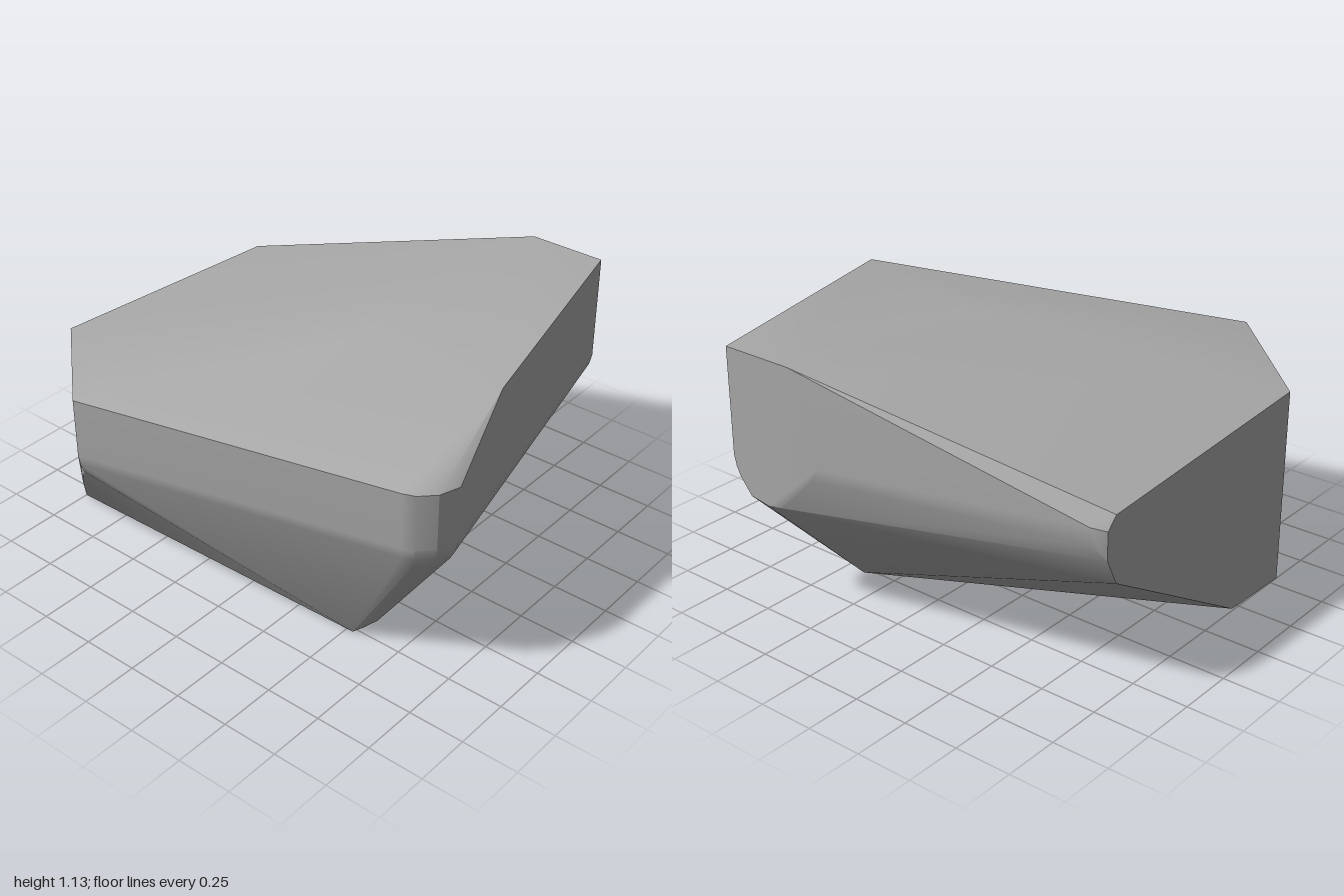
import * as THREE from 'three';
import { ConvexGeometry } from 'three/addons/geometries/ConvexGeometry.js';

// Area-weighted smooth normals that keep edges above the crease angle sharp
function creaseNormals(geometry, angle) {
  const pos = geometry.attributes.position;
  const limit = Math.cos(angle);
  const corners = new Map();
  const faces = [];
  const key = (i) => [pos.getX(i), pos.getY(i), pos.getZ(i)].map((v) => v.toFixed(4)).join();
  for (let i = 0; i < pos.count; i += 3) {
    const [a, b, c] = [0, 1, 2].map((k) => new THREE.Vector3().fromBufferAttribute(pos, i + k));
    const area = b.sub(a).cross(c.sub(a));
    const face = { area, unit: area.clone().normalize() };
    faces.push(face);
    for (let k = 0; k < 3; k++) {
      const id = key(i + k);
      if (!corners.has(id)) corners.set(id, []);
      corners.get(id).push(face);
    }
  }
  const normals = [];
  for (let i = 0; i < pos.count; i++) {
    const own = faces[Math.floor(i / 3)];
    const n = new THREE.Vector3();
    for (const f of corners.get(key(i))) if (f.unit.dot(own.unit) >= limit) n.add(f.area);
    n.normalize();
    normals.push(n.x, n.y, n.z);
  }
  geometry.setAttribute('normal', new THREE.Float32BufferAttribute(normals, 3));
}

export function createModel() {
  const group = new THREE.Group();
  group.name = 'boulder';
  const stone = new THREE.MeshStandardMaterial({ color: 0xaaaaaa });
  stone.name = 'grey stone';

  // Flat summit and its soft break into the rear slope
  const summit = [
    [-0.12, 1.13, 0.92], [0.99, 1.13, 0.65], [0.99, 1.13, 0.31],
    [0.58, 1.13, 0.22], [0.1, 1.13, 0.17], [-0.1, 1.13, 0.3],
  ];
  // Flat back face
  const back = [
    [-0.55, 0.87, -1], [0.64, 0.79, -1], [0.69, 0.74, -1],
    [0.69, 0.62, -1], [0.63, 0.5, -1], [-0.2, 0.01, -1], [-0.55, 0, -1],
  ];
  // Right flat and the worn edge running back from it
  const right = [
    [0.99, 0.5, 0.56], [0.99, 0.485, 0.46], [0.99, 0.5, 0.39],
    [0.99, 0.68, 0.2], [0.99, 0.74, 0.17], [0.72, 0.75, -0.94], [0.72, 0.68, -0.94],
  ];
  // Underside
  const base = [
    [-0.52, 0, 0.53], [-0.38, 0, 0.55], [0.48, 0, 0.35],
    [-0.5, 0.03, 0.57], [-0.42, 0.02, 0.58], [0.54, 0.02, 0.36], [0.58, 0.04, 0.35],
    [-0.8, 0.33, -0.72],
  ];

  // Wall columns: x, z, top height, inward direction of the rounded lower edge
  const columns = [
    [-0.99, -0.51, 0.92, 0.7, 0],
    [-0.65, 0.86, 0.91, 0.9, -0.3],
    [-0.63, 0.91, 0.91, 0.8, -0.6],
    [-0.57, 0.97, 0.91, 0.4, -0.9],
    [-0.48, 1.0, 0.91, 0, -1],
    [0.99, 0.65, 1.13, 0, -1],
  ];
  const bevel = [[0.66, 0], [0.61, 0.012], [0.57, 0.032]];
  const walls = [];
  for (const [x, z, top, dx, dz] of columns) {
    walls.push([x, top, z]);
    for (const [y, inset] of bevel) walls.push([x + dx * inset, y, z + dz * inset]);
  }

  const points = [...summit, ...back, ...right, ...base, ...walls]
    .map((p) => new THREE.Vector3(...p));
  const geometry = new ConvexGeometry(points);
  creaseNormals(geometry, 0.45);

  const rock = new THREE.Mesh(geometry, stone);
  rock.name = 'rock';
  group.add(rock);
  return group;
}
